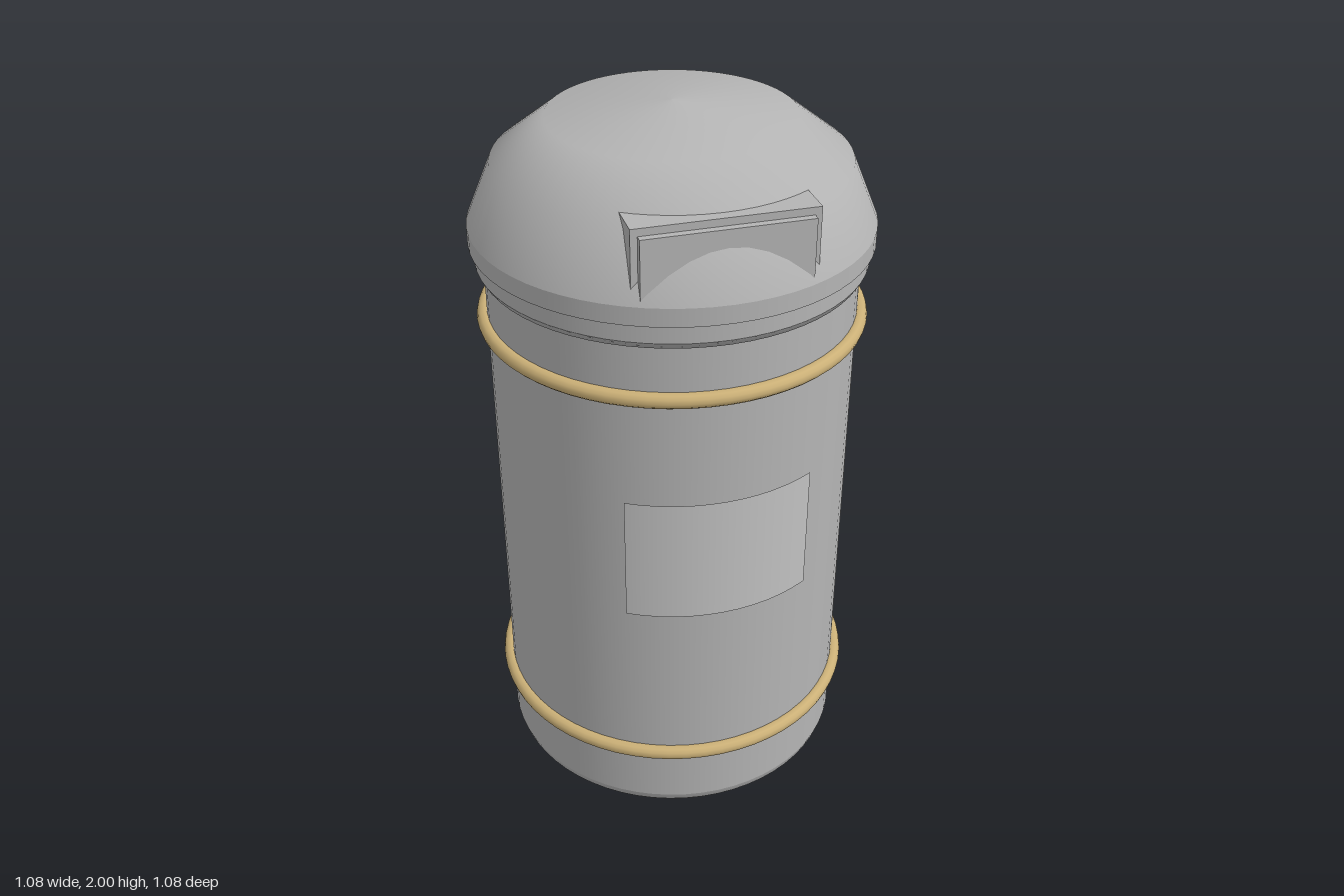
import * as THREE from 'three';

export function createModel() {
  const group = new THREE.Group();
  const material = (name, color) => {
    const m = new THREE.MeshStandardMaterial({ color });
    m.name = name;
    return m;
  };
  const steel = material('steel', 0xb4b4b4);
  const pale = material('paleSteel', 0xc2c2c2);
  const brass = material('brass', 0xcbb077);
  pale.side = THREE.DoubleSide;

  const add = (name, geometry, mat, x = 0, y = 0, z = 0) => {
    const mesh = new THREE.Mesh(geometry, mat);
    mesh.name = name;
    mesh.position.set(x, y, z);
    group.add(mesh);
    return mesh;
  };
  // Profiles run bottom to top as [radius, height]
  const lathe = (points, segments = 64, start = 0, length = Math.PI * 2) =>
    new THREE.LatheGeometry(points.map(([r, y]) => new THREE.Vector2(r, y)), segments, start, length);

  // Body: base disc, chamfer and straight wall
  add('base', lathe([[0, 0], [0.488, 0]]), steel);
  add('baseChamfer', lathe([[0.488, 0], [0.498, 0.012], [0.505, 0.035]]), steel);
  add('body', lathe([[0.505, 0.035], [0.505, 1.58]]), steel);

  // Collar under the lid
  add('collarUnderside', lathe([[0.5, 1.57], [0.518, 1.57], [0.528, 1.588]]), steel);
  add('collar', lathe([[0.528, 1.588], [0.528, 1.645]]), steel);

  // Lid: flat underside, short rim and stepped dome with smooth shading
  add('lidUnderside', lathe([[0.5, 1.64], [0.542, 1.64]]), steel);
  add('lidRim', lathe([[0.542, 1.64], [0.542, 1.69]]), steel);
  add('lidDome', lathe([[0.542, 1.69], [0.472, 1.855], [0.328, 1.965], [0, 2]]), steel);

  // Brass hoops
  for (const [name, y] of [['lowerHoop', 0.22], ['upperHoop', 1.42]]) {
    const hoop = add(name, new THREE.TorusGeometry(0.512, 0.021, 12, 64), brass, 0, y, 0);
    hoop.rotation.x = Math.PI / 2;
  }

  // Curved label plate wrapped around the front
  add('label', lathe([[0.5, 0.73], [0.512, 0.73], [0.512, 1.1], [0.5, 1.1]].slice(1, 3),
    12, -Math.PI / 6, Math.PI / 3), pale);

  // Lid flap housing and its front panel, both sunk into the dome
  add('flapHousing', new THREE.BoxGeometry(0.47, 0.21, 0.17), steel, 0, 1.775, 0.385);
  add('flapPanel', new THREE.BoxGeometry(0.434, 0.19, 0.03), steel, 0, 1.765, 0.475);

  return group;
}
